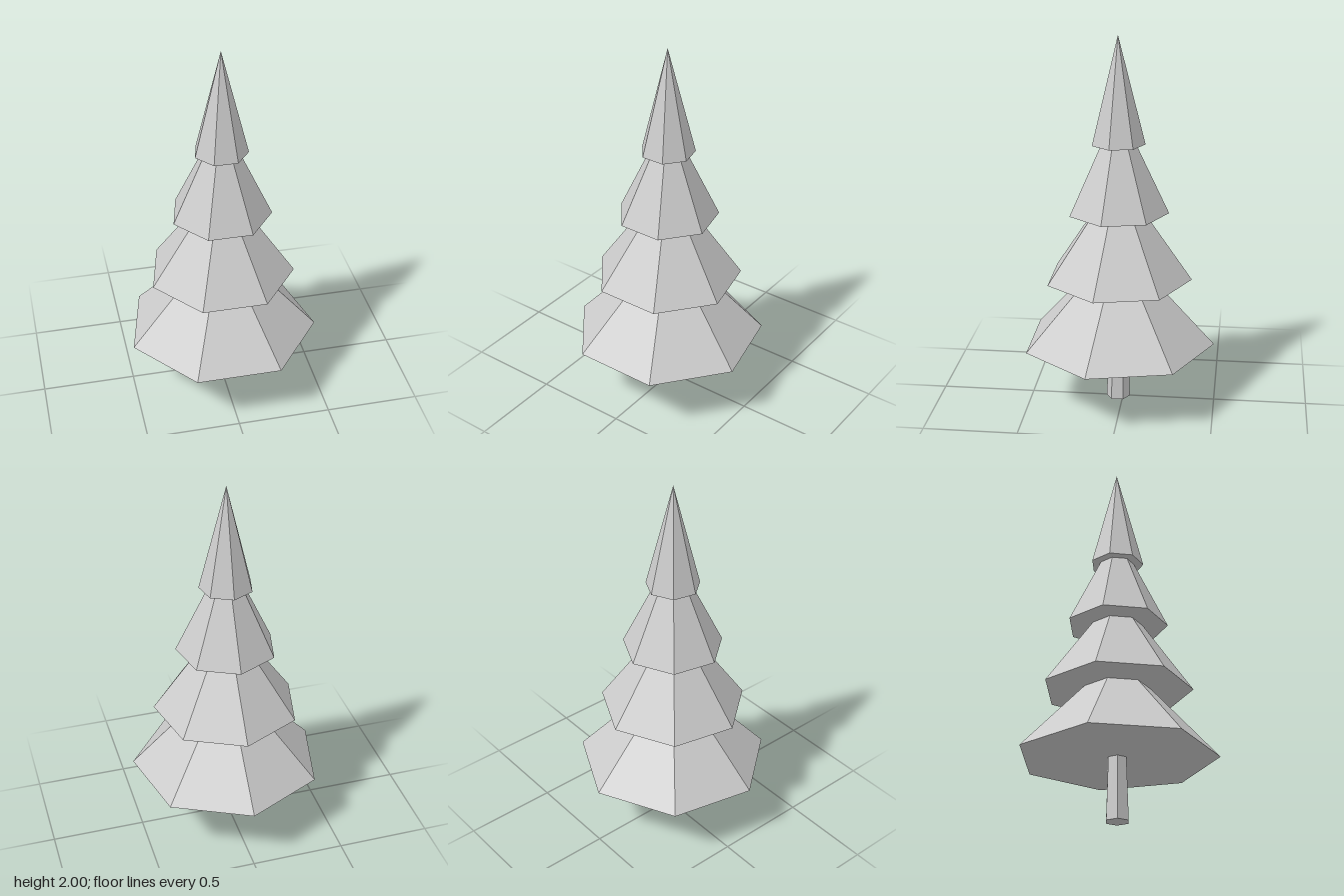
import * as THREE from 'three';

export function createModel() {
  const tree = new THREE.Group();
  tree.name = 'pineTree';

  const grey = new THREE.MeshStandardMaterial({ color: 0xcccccc });
  grey.name = 'lightGrey';

  const axisZ = 0.026; // seven-sided tiers sit off centre, so the trunk axis does too

  // Low-poly tapered prism standing on height y, with its first corner at the back
  function addPrism(name, topRadius, bottomRadius, y, height, sides) {
    let geometry = new THREE.CylinderGeometry(
      topRadius, bottomRadius, height, sides, 1, false, Math.PI);
    geometry = geometry.toNonIndexed();
    geometry.computeVertexNormals(); // flat facets
    const mesh = new THREE.Mesh(geometry, grey);
    mesh.name = name;
    mesh.position.set(0, y + height / 2, axisZ);
    tree.add(mesh);
  }

  // Hexagonal trunk
  addPrism('trunk', 0.05, 0.064, 0, 0.4, 6);

  // Four stacked cones of foliage, equal in height and shrinking upwards
  const tierHeight = 0.565;
  for (let i = 0; i < 4; i++) {
    addPrism(`foliageTier${i + 1}`, 0, 0.52 - i * 0.1257, 0.33 + i * 0.3683, tierHeight, 7);
  }

  return tree;
}
